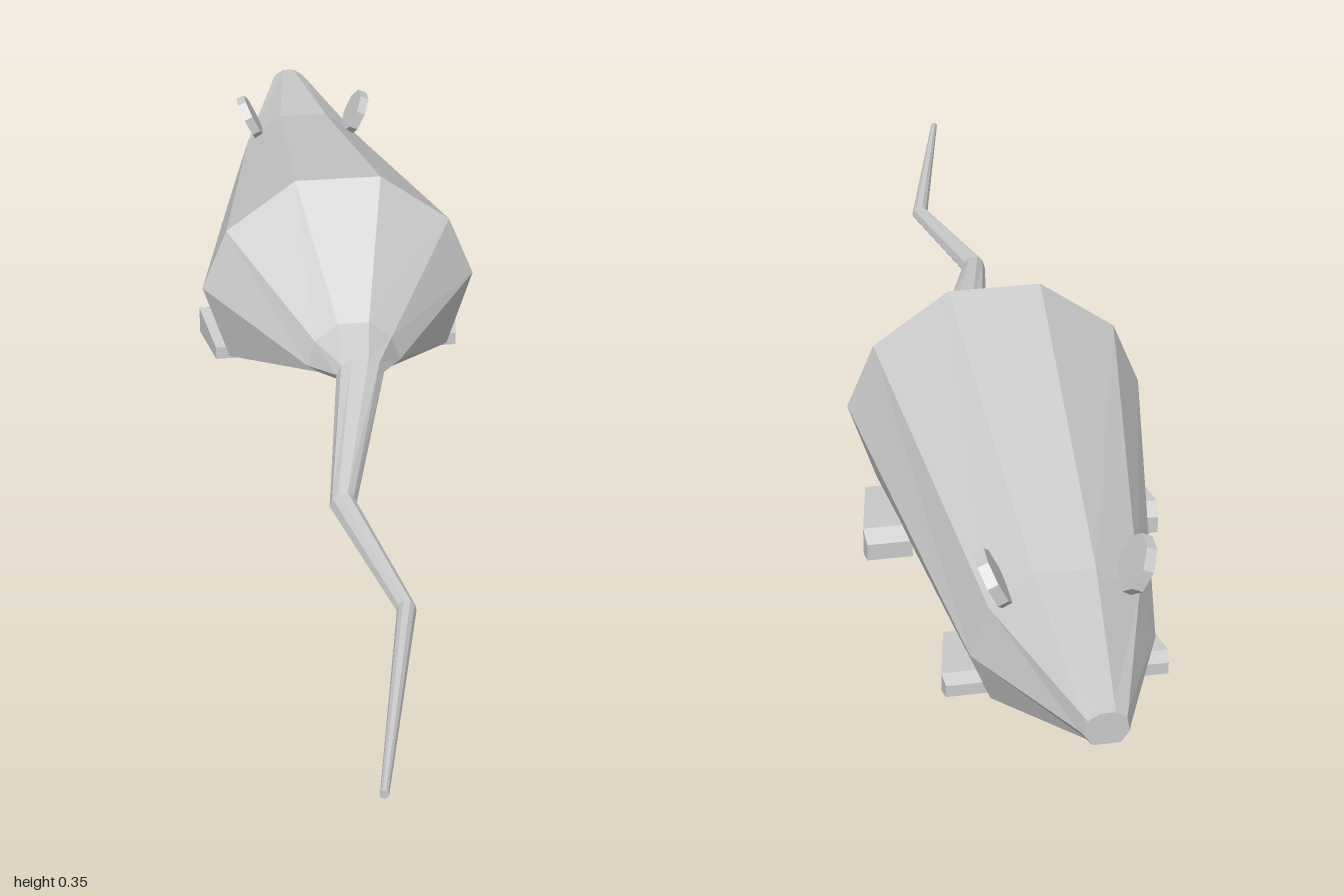
import * as THREE from 'three';

const material = new THREE.MeshStandardMaterial({ color: 0xcccccc, flatShading: true });

// Skin over rings of [x, y, z] points, counter-clockwise from +z, ordered by rising z
function loft(name, rings) {
  const n = rings[0].length, last = (rings.length - 1) * n, index = [];
  for (let i = 0; i < rings.length - 1; i++) {
    for (let j = 0; j < n; j++) {
      const a = i * n + j, b = i * n + (j + 1) % n;
      index.push(a, b, b + n, a, b + n, a + n);
    }
  }
  for (let j = 1; j < n - 1; j++) {
    index.push(0, j + 1, j, last, last + j, last + j + 1);
  }
  const geometry = new THREE.BufferGeometry();
  geometry.setAttribute('position', new THREE.Float32BufferAttribute(rings.flat(2), 3));
  geometry.setIndex(index);
  const flat = geometry.toNonIndexed();
  flat.computeVertexNormals();
  const mesh = new THREE.Mesh(flat, material);
  mesh.name = name;
  return mesh;
}

// Symmetric eight-sided ring from one side's points: bottom, flank, shoulder, top
function bodyRing(z, half, cx = 0) {
  const right = half.map(([x, y]) => [cx + x, y, z]);
  const left = half.map(([x, y]) => [cx - x, y, z]).reverse();
  return [...right, ...left];
}

// Tail ring from its centre and half sizes
function tailRing([z, cx, cy, w, h]) {
  return bodyRing(z, [[w * 0.55, cy - h], [w, cy - h * 0.3], [w * 0.8, cy + h * 0.5], [w * 0.35, cy + h]], cx);
}

function boxRing(z, cx, w, y0, y1) {
  return [[cx + w, y0, z], [cx + w, y1, z], [cx - w, y1, z], [cx - w, y0, z]];
}

export function createModel() {
  const group = new THREE.Group();

  // Body from nose to tail root
  group.add(loft('body', [
    bodyRing(-1, [[0.018, 0.158], [0.029, 0.175], [0.025, 0.197], [0.01, 0.207]]),
    bodyRing(-0.985, [[0.02, 0.154], [0.034, 0.172], [0.03, 0.197], [0.012, 0.208]]),
    bodyRing(-0.73, [[0.1, 0.026], [0.128, 0.102], [0.103, 0.18], [0.042, 0.228]]),
    bodyRing(-0.18, [[0.185, 0.035], [0.227, 0.167], [0.185, 0.27], [0.07, 0.354]]),
    bodyRing(0.02, [[0.055, 0.108], [0.075, 0.122], [0.062, 0.165], [0.025, 0.194]]),
    tailRing([0.09, 0.002, 0.148, 0.038, 0.022]),
  ]));

  // Zigzag tail
  group.add(loft('tail', [
    [0.09, 0.002, 0.148, 0.038, 0.022],
    [0.37, -0.06, 0.085, 0.02, 0.018],
    [0.62, -0.001, 0.066, 0.014, 0.013],
    [1, -0.085, 0.057, 0.006, 0.006],
  ].map(tailRing)));

  for (const side of [1, -1]) {
    const label = side > 0 ? 'left' : 'right';

    // Round ears leaning outward
    const ear = new THREE.Mesh(new THREE.CylinderGeometry(0.042, 0.042, 0.016, 8, 1, false, Math.PI / 8), material);
    ear.name = label + 'Ear';
    ear.position.set(side * 0.097, 0.228, -0.73);
    ear.rotation.z = side * (Math.PI / 2 - 0.45);
    group.add(ear);

    // Feet, narrow at the heel and wide at the toes
    group.add(loft(label + 'HindFoot', [
      boxRing(-0.36, side * 0.188, 0.034, 0.006, 0.034),
      boxRing(-0.335, side * 0.188, 0.037, 0, 0.047),
      boxRing(-0.21, side * 0.188, 0.018, 0.014, 0.036),
    ]));
    group.add(loft(label + 'FrontFoot', [
      boxRing(-0.7, side * 0.127, 0.03, 0.011, 0.03),
      boxRing(-0.68, side * 0.127, 0.033, 0.007, 0.037),
      boxRing(-0.58, side * 0.127, 0.015, 0.016, 0.03),
    ]));
  }

  return group;
}
